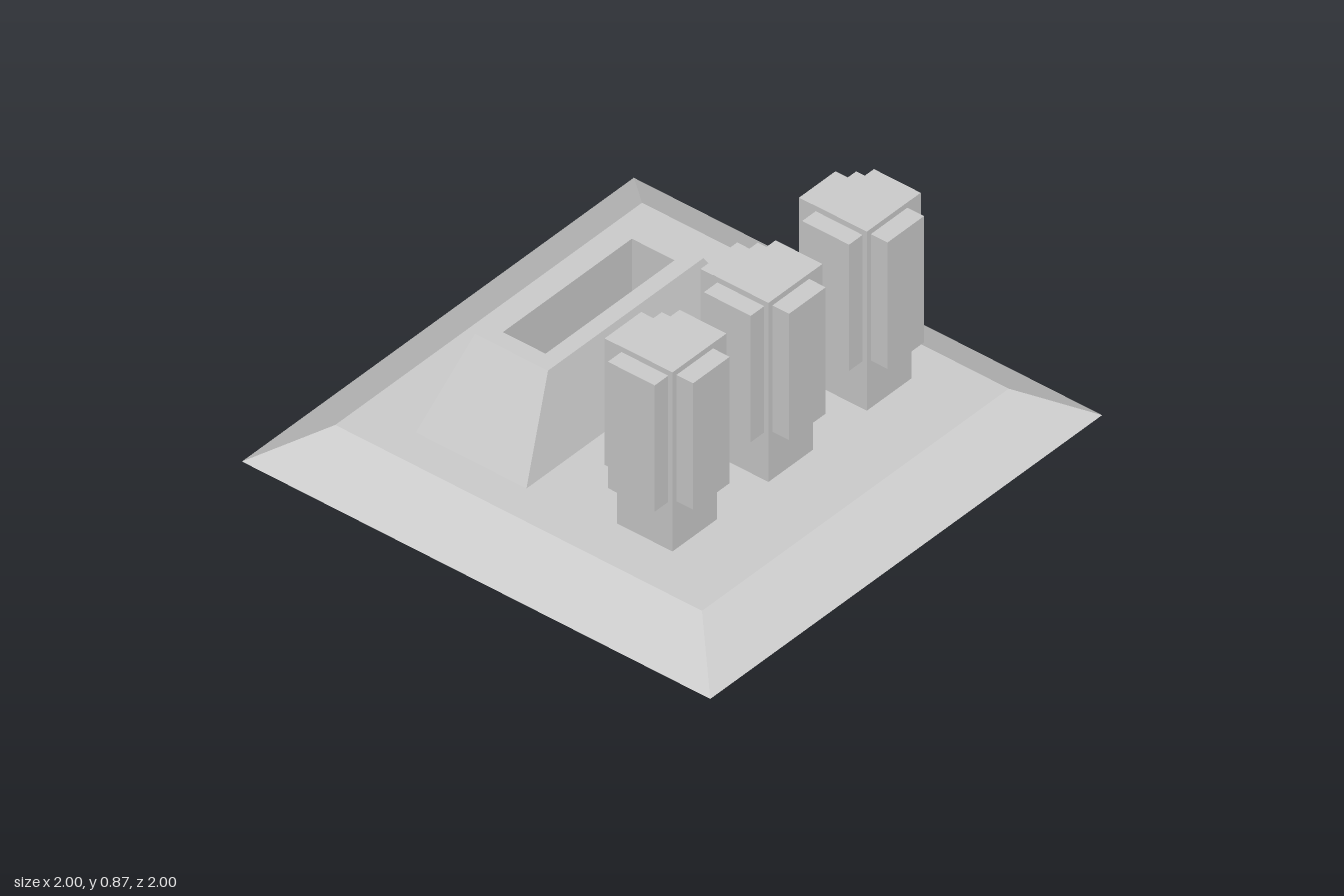
import * as THREE from 'three';

const material = new THREE.MeshStandardMaterial({ color: 0xcccccc, flatShading: true });

// Closed solid through rectangular rings [x0, x1, z0, z1, y], capped at both ends
function loftRectangles(rings) {
  const loops = rings.map(([x0, x1, z0, z1, y]) => [[x0, y, z0], [x0, y, z1], [x1, y, z1], [x1, y, z0]]);
  const positions = [];
  const quad = (a, b, c, d) => positions.push(...a, ...b, ...c, ...a, ...c, ...d);
  for (let r = 0; r < loops.length - 1; r++) {
    const lower = loops[r], upper = loops[r + 1];
    for (let i = 0; i < 4; i++) {
      const j = (i + 1) % 4;
      quad(lower[i], lower[j], upper[j], upper[i]);
    }
  }
  const [a, b, c, d] = loops[0];
  quad(d, c, b, a);
  quad(...loops[loops.length - 1]);
  const geometry = new THREE.BufferGeometry();
  geometry.setAttribute('position', new THREE.Float32BufferAttribute(positions, 3));
  geometry.computeVertexNormals();
  return geometry;
}

function addMesh(parent, name, geometry) {
  const mesh = new THREE.Mesh(geometry, material);
  mesh.name = name;
  parent.add(mesh);
  return mesh;
}

// Box standing between two heights
function addBlock(parent, name, width, depth, y0, y1) {
  addMesh(parent, name, new THREE.BoxGeometry(width, y1 - y0, depth)).position.y = (y0 + y1) / 2;
}

export function createModel() {
  const model = new THREE.Group();
  model.name = 'towerBlocksOnPlinth';
  const ground = 0.13;

  // Sloped square plinth
  addMesh(model, 'plinth', loftRectangles([
    [-1, 1, -1, 1, 0],
    [-0.783, 0.783, -0.783, 0.783, ground],
  ]));

  // Tapered block with a rectangular well sunk into its top
  addMesh(model, 'hollowBlock', loftRectangles([
    [-0.555, -0.082, -0.555, 0.645, ground],
    [-0.475, -0.163, -0.355, 0.438, 0.455],
    [-0.41, -0.228, -0.285, 0.373, 0.455],
    [-0.41, -0.228, -0.285, 0.373, 0.2],
  ]));

  // Row of towers: a core with overhanging bays on all four sides
  for (const z of [-0.507, -0.005, 0.485]) {
    const tower = new THREE.Group();
    tower.name = 'tower';
    tower.position.set(0.385, 0, z);
    addBlock(tower, 'core', 0.236, 0.228, ground, 0.867);
    addBlock(tower, 'sideBays', 0.378, 0.187, 0.325, 0.845);
    addBlock(tower, 'frontAndBackBays', 0.2, 0.366, 0.325, 0.845);
    model.add(tower);
  }
  return model;
}
